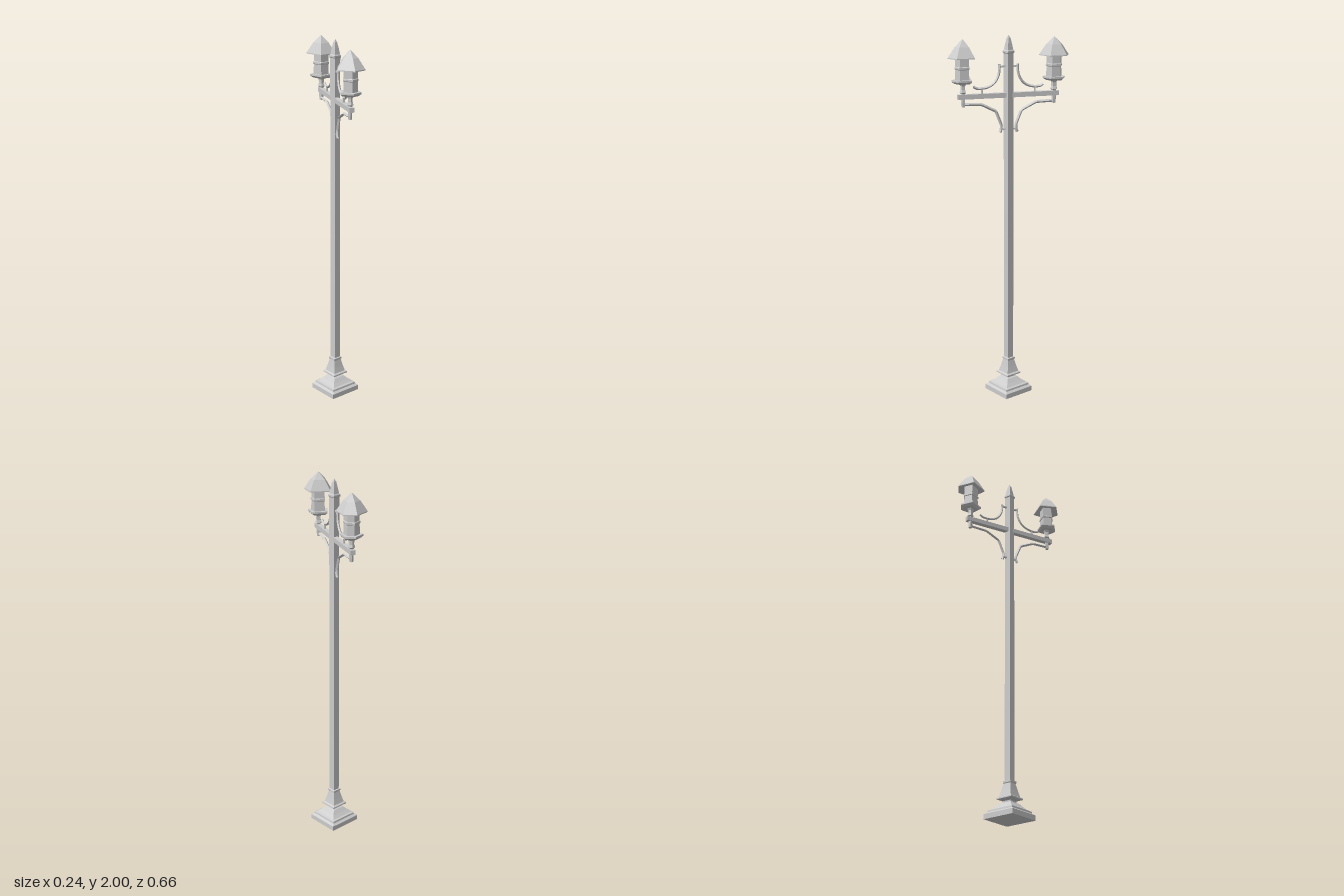
import * as THREE from 'three';

const metal = new THREE.MeshStandardMaterial({ color: 0xcccccc, flatShading: true, side: THREE.DoubleSide });

function add(parent, name, geometry) {
  const mesh = new THREE.Mesh(geometry, metal);
  mesh.name = name;
  parent.add(mesh);
  return mesh;
}

// Faceted turned part: profile of [radius, y], one corner per angle (degrees from +z towards +x)
function turned(profile, angles) {
  const pts = profile.map(([r, y]) => new THREE.Vector2(r, y));
  const g = new THREE.LatheGeometry(pts, angles.length);
  const pos = g.attributes.position;
  for (let i = 0; i <= angles.length; i++) {
    const a = THREE.MathUtils.degToRad(angles[i % angles.length]);
    pts.forEach((p, j) => pos.setXYZ(i * pts.length + j, p.x * Math.sin(a), p.y, p.x * Math.cos(a)));
  }
  g.computeVertexNormals();
  return g;
}

// Square-section bar bent along [z, y] points, flat in the x = 0 plane
function bentBar(points, radius, smooth) {
  const pts = points.map(([z, y]) => new THREE.Vector3(0, y, z));
  let path;
  if (smooth) path = new THREE.CatmullRomCurve3(pts);
  else {
    path = new THREE.CurvePath();
    for (let i = 1; i < pts.length; i++) path.add(new THREE.LineCurve3(pts[i - 1], pts[i]));
  }
  return new THREE.TubeGeometry(path, smooth ? 12 : 24, radius, 4);
}

const square = [67.5, 157.5, 247.5, 337.5];

function makeLantern(name, angles) {
  const g = new THREE.Group();
  g.name = name;
  // Pin through the beam and flared neck
  add(g, 'lanternPin', turned([[0, 1.635], [0.010, 1.635], [0.012, 1.655], [0.012, 1.705],
    [0.019, 1.71], [0.014, 1.725], [0.014, 1.745], [0.024, 1.765]], angles));
  add(g, 'lanternTray', turned([[0, 1.757], [0.045, 1.757], [0.06, 1.768], [0.06, 1.777], [0, 1.778]], angles));
  add(g, 'lanternBody', turned([[0.042, 1.775], [0.04, 1.83], [0.044, 1.833], [0.044, 1.843],
    [0.04, 1.846], [0.04, 1.9]], angles));
  // Two-slope roof with its underside
  add(g, 'lanternRoof', turned([[0.036, 1.897], [0.079, 1.887], [0.079, 1.892], [0.042, 1.946], [0, 1.986]], angles));
  return g;
}

export function createModel() {
  const model = new THREE.Group();
  model.name = 'streetLamp';

  // Stepped base
  add(model, 'base', turned([[0, 0], [0.132, 0], [0.132, 0.027], [0.114, 0.036], [0.112, 0.046],
    [0.095, 0.050], [0.073, 0.065], [0.050, 0.084], [0.034, 0.088], [0.034, 0.098]], square));
  add(model, 'pedestal', turned([[0.034, 0.096], [0.068, 0.105], [0.068, 0.112], [0.055, 0.118],
    [0.043, 0.15], [0.031, 0.188], [0.035, 0.191], [0.035, 0.201], [0.026, 0.204]], square));

  // Post and pointed finial
  add(model, 'post', turned([[0.026, 0.195], [0.026, 1.91]], square));
  add(model, 'finial', turned([[0.026, 1.905], [0.031, 1.909], [0.031, 1.918], [0.025, 1.924],
    [0.018, 1.955], [0.010, 1.985], [0, 2.0]], square));

  // Crossbeam
  add(model, 'crossbeam', new THREE.BoxGeometry(0.026, 0.025, 0.55)).position.y = 1.688;

  // Scroll brackets on both sides of the post
  for (const s of [1, -1]) {
    const arm = new THREE.Group();
    arm.name = s > 0 ? 'frontBrackets' : 'backBrackets';
    const side = (pts) => pts.map(([z, y]) => [z * s, y]);
    add(arm, 'upperScroll', bentBar(side([[0.05, 1.85], [0.05, 1.82], [0.058, 1.785], [0.08, 1.752],
      [0.11, 1.734], [0.15, 1.727], [0.178, 1.73], [0.19, 1.738]]), 0.007, true));
    add(arm, 'lowerBrace', bentBar(side([[0.245, 1.648], [0.15, 1.645], [0.07, 1.605],
      [0.04, 1.53], [0.041, 1.505], [0.048, 1.49]]), 0.008, false));
    const ties = [[0.034, 1.838, 0.008, 0.04], [0.03, 1.507, 0.008, 0.03], [0.145, 1.712, 0.028, 0.007]];
    for (const [z, y, h, d] of ties) {
      add(arm, 'bracketTie', new THREE.BoxGeometry(0.009, h, d)).position.set(0, y, z * s);
    }
    model.add(arm);
  }

  // Five-sided lanterns
  const front = makeLantern('frontLantern', [0, 54, 128, 214, 288]);
  front.position.z = 0.246;
  const back = makeLantern('backLantern', [57, 128, 180, 255, 343]);
  back.position.z = -0.251;
  model.add(front, back);
  return model;
}
